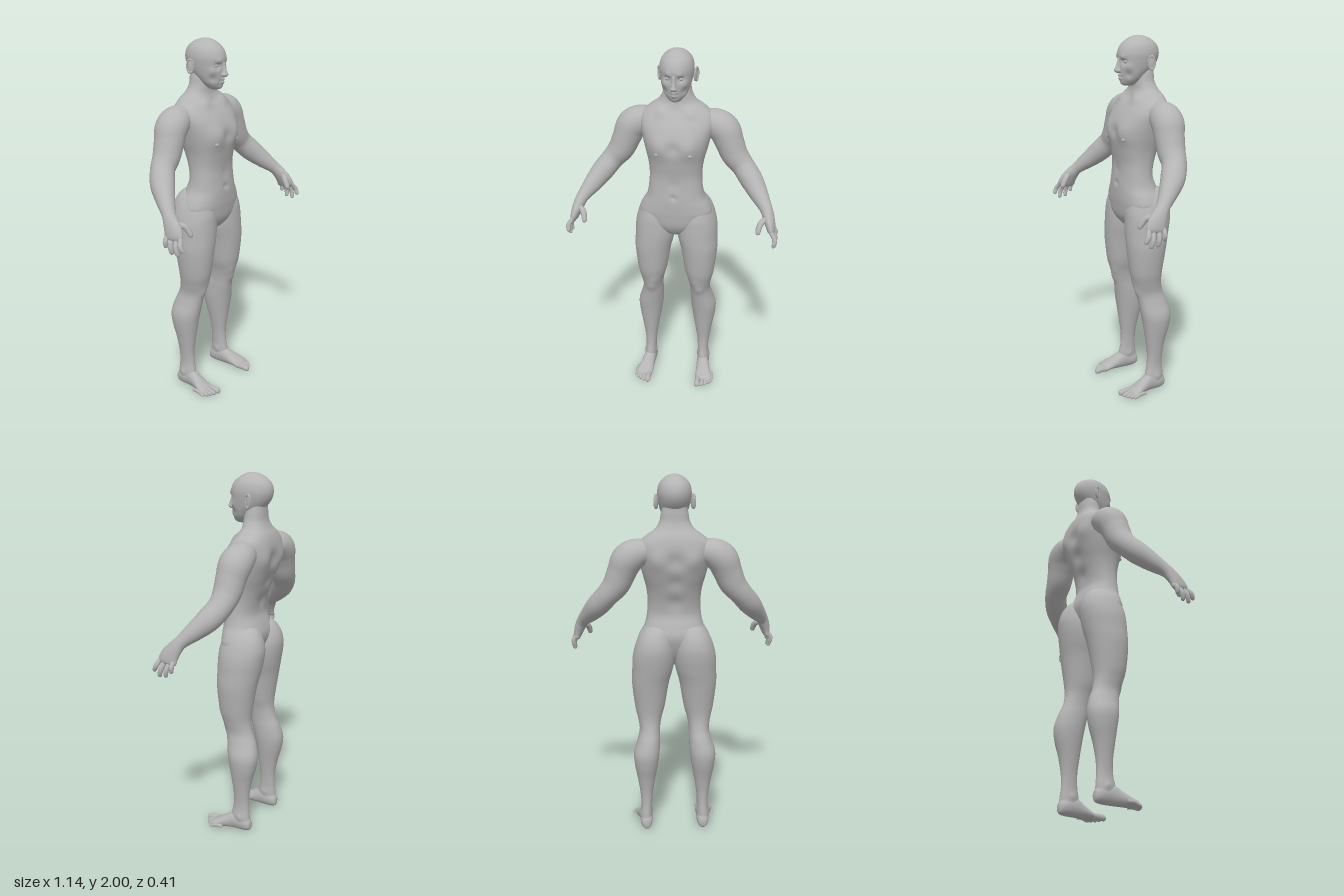
import * as THREE from 'three';
import { mergeVertices } from 'three/addons/utils/BufferGeometryUtils.js';

const skin = new THREE.MeshStandardMaterial({ color: 0xb4b4b4 });
skin.name = 'grey skin';
const V = (x, y, z) => new THREE.Vector3(x, y, z);

// Smooth skin through rows [x, y, z, halfWidth, halfDepth].
// axis: fixed ring axis, or null to follow the path; ref: direction of the depth.
function loft(rows, { axis = V(0, 1, 0), ref = V(0, 0, 1), sides = 32, steps = 6, power = 2, bumps = [] } = {}) {
  const path = new THREE.CatmullRomCurve3(rows.map(r => V(r[0], r[1], r[2])), false, 'catmullrom');
  const size = new THREE.CatmullRomCurve3(rows.map(r => V(r[3], r[4], 0)), false, 'catmullrom');
  const n = (rows.length - 1) * steps, pos = [], idx = [];
  const soft = c => Math.sign(c) * Math.abs(c) ** (2 / power);
  for (let i = 0; i <= n; i++) {
    const p = path.getPoint(i / n), s = size.getPoint(i / n);
    const t = axis || path.getTangent(i / n);
    const v = ref.clone().addScaledVector(t, -t.dot(ref)).normalize();
    const u = t.clone().cross(v);
    for (let j = 0; j < sides; j++) {
      const a = j / sides * Math.PI * 2;
      const q = p.clone().addScaledVector(u, Math.max(s.x, 0) * soft(Math.cos(a)))
        .addScaledVector(v, Math.max(s.y, 0) * soft(Math.sin(a)));
      pos.push(...sculpt(q, bumps).toArray());
      if (i < n) {
        const k = i * sides, m = (j + 1) % sides;
        idx.push(k + j, k + sides + j, k + sides + m, k + j, k + sides + m, k + m);
      }
    }
  }
  let g = new THREE.BufferGeometry();
  g.setAttribute('position', new THREE.Float32BufferAttribute(pos, 3));
  g.setIndex(idx);
  g = mergeVertices(g, 1e-5);
  g.computeVertexNormals();
  return g;
}

// Soft local pushes [x, y, z, radius, dx, dy, dz], mirrored when off centre
function sculpt(p, bumps) {
  const out = p.clone();
  for (const [x, y, z, r, dx, dy, dz] of bumps)
    for (const s of x ? [1, -1] : [1]) {
      const k = Math.exp(-p.distanceToSquared(V(x * s, y, z)) / (r * r));
      out.add(V(dx * s, dy, dz).multiplyScalar(k));
    }
  return out;
}

// Upright ring from height, half width, front z, back z, centre x
const ring = (y, w, f, b, x = 0) => [x, y, (f + b) / 2, w, (f - b) / 2];

function ball(x, y, z, rx, ry, rz, turn = 0) {
  return new THREE.SphereGeometry(1, 24, 16).scale(rx, ry, rz).rotateY(turn).translate(x, y, z);
}

function mirrored(geo) {
  const g = geo.clone().scale(-1, 1, 1), a = g.index.array;
  for (let i = 0; i < a.length; i += 3) [a[i], a[i + 1]] = [a[i + 1], a[i]];
  g.computeVertexNormals();
  return g;
}

export function createModel() {
  const model = new THREE.Group();
  model.name = 'human figure';
  const add = (name, geo) => {
    const m = new THREE.Mesh(geo, skin);
    m.name = name;
    model.add(m);
  };
  const pair = (name, geo) => {
    add('left ' + name, geo);
    add('right ' + name, mirrored(geo));
  };

  // Torso and neck
  add('torso', loft([
    ring(0.96, 0, -0.03, -0.03), ring(0.975, 0.05, 0.02, -0.07), ring(1.03, 0.16, 0.055, -0.12),
    ring(1.1, 0.2, 0.065, -0.15), ring(1.15, 0.188, 0.067, -0.158), ring(1.2, 0.16, 0.066, -0.145),
    ring(1.26, 0.147, 0.06, -0.125), ring(1.33, 0.143, 0.058, -0.135), ring(1.4, 0.15, 0.068, -0.158),
    ring(1.47, 0.168, 0.076, -0.185), ring(1.54, 0.185, 0.07, -0.2), ring(1.6, 0.198, 0.045, -0.204),
    ring(1.65, 0.19, 0.01, -0.198), ring(1.69, 0.148, -0.018, -0.185), ring(1.72, 0.105, -0.032, -0.167),
    ring(1.76, 0.08, -0.035, -0.152), ring(1.81, 0.07, -0.04, -0.148), ring(1.85, 0.055, -0.05, -0.14),
    ring(1.87, 0, -0.09, -0.09),
  ], {
    sides: 72, power: 2.3, bumps: [
      [0.08, 1.5, 0.06, 0.055, 0, 0, 0.014],      // chest muscles
      [0, 1.5, 0.08, 0.03, 0, 0, -0.01],          // breastbone
      [0, 1.29, 0.06, 0.03, 0, 0, -0.005],
      [0, 1.215, 0.066, 0.013, 0, 0, -0.012],     // navel
      [0.1, 1.56, -0.19, 0.055, 0, 0, -0.014],    // shoulder blades
      [0, 1.56, -0.2, 0.045, 0, 0, 0.014],        // spine
      [0, 1.45, -0.18, 0.045, 0, 0, 0.014],
      [0, 1.33, -0.135, 0.04, 0, 0, 0.01],
      [0.08, 1.67, -0.01, 0.03, 0, 0.006, 0.008], // collar bones
      [0, 1.68, -0.01, 0.025, 0, 0, -0.008],
    ],
  }));
  pair('nipple', ball(0.088, 1.465, 0.066, 0.013, 0.012, 0.012));

  // Leg, sole to hip; its rounded top forms the buttock
  pair('leg', loft([
    ring(0.04, 0, -0.1, -0.1, 0.163), ring(0.05, 0.03, -0.05, -0.145, 0.163),
    ring(0.09, 0.034, -0.035, -0.146, 0.163), ring(0.15, 0.031, -0.046, -0.14, 0.16),
    ring(0.22, 0.036, -0.05, -0.141, 0.16), ring(0.31, 0.05, -0.04, -0.156, 0.16),
    ring(0.4, 0.066, -0.027, -0.18, 0.16), ring(0.47, 0.072, -0.015, -0.188, 0.157),
    ring(0.54, 0.063, -0.003, -0.172, 0.145), ring(0.6, 0.057, 0.008, -0.148, 0.138),
    ring(0.66, 0.066, 0.026, -0.136, 0.138), ring(0.73, 0.083, 0.046, -0.14, 0.136),
    ring(0.865, 0.102, 0.06, -0.162, 0.132), ring(0.95, 0.112, 0.062, -0.18, 0.12),
    ring(1.02, 0.115, 0.06, -0.193, 0.114), ring(1.08, 0.107, 0.055, -0.197, 0.109),
    ring(1.14, 0.088, 0.035, -0.182, 0.104), ring(1.19, 0.055, -0.01, -0.145, 0.095),
    ring(1.21, 0, -0.08, -0.08, 0.09),
  ], {
    sides: 40, power: 2.1, bumps: [
      [0.138, 0.61, 0.01, 0.03, 0, 0, 0.01],     // kneecap
      [0.12, 0.66, 0.02, 0.03, -0.003, 0, 0.006],
      [0.125, 0.1, -0.09, 0.015, -0.006, 0, 0],  // ankle bones
      [0.2, 0.09, -0.1, 0.015, 0.006, 0, 0],
    ],
  }));

  // Foot, heel to ball, then the toes
  const forward = { axis: V(0, 0, 1), ref: V(0, 1, 0) };
  pair('foot', loft([
    [0.162, 0.04, -0.157, 0, 0], [0.162, 0.042, -0.15, 0.022, 0.03], [0.162, 0.05, -0.12, 0.034, 0.047],
    [0.164, 0.056, -0.06, 0.036, 0.054], [0.171, 0.042, -0.01, 0.041, 0.04], [0.18, 0.027, 0.04, 0.049, 0.025],
    [0.181, 0.019, 0.07, 0.044, 0.017], [0.178, 0.016, 0.085, 0, 0],
  ], forward));
  [[0.15, 0.132, 0.017], [0.176, 0.12, 0.0115], [0.196, 0.108, 0.011], [0.213, 0.093, 0.0105], [0.227, 0.077, 0.01]]
    .forEach(([x, z, r], i) => pair('toe ' + (i + 1), loft([
      [x - 0.003, 0.02, z - 0.08, r * 0.8, r], [x, 0.022, z - 0.045, r * 0.9, r], [x, r + 0.002, z - 0.015, r, r],
      [x, r, z - 0.004, r * 0.7, r * 0.7], [x, r, z, 0, 0],
    ], { ...forward, sides: 14, steps: 4 })));

  // Arm from inside the shoulder down to the knuckles
  pair('arm', loft([
    [0.1, 1.6, -0.11, 0, 0], [0.14, 1.605, -0.11, 0.055, 0.06], [0.2, 1.595, -0.11, 0.078, 0.082],
    [0.25, 1.562, -0.107, 0.085, 0.087], [0.279, 1.5, -0.1, 0.078, 0.08], [0.31, 1.43, -0.094, 0.072, 0.074],
    [0.358, 1.37, -0.083, 0.062, 0.066], [0.408, 1.31, -0.045, 0.061, 0.064], [0.455, 1.252, 0.01, 0.05, 0.05],
    [0.497, 1.2, 0.064, 0.035, 0.036], [0.515, 1.165, 0.092, 0.031, 0.042], [0.529, 1.125, 0.117, 0.026, 0.052],
    [0.538, 1.092, 0.126, 0.018, 0.05], [0.541, 1.078, 0.127, 0, 0],
  ], { axis: null, sides: 36 }));

  // Fingers, front to back, and the thumb
  const digit = (name, pts, r) => pair(name, loft(
    pts.map((p, i) => [...p, ...Array(2).fill(r * [0.9, 1.05, 0.95, 0.7, 0][i])]), { axis: null, sides: 14, steps: 4 }));
  [[0.166, 1.105, 0.196, 1.04], [0.14, 1.1, 0.165, 1.012], [0.112, 1.1, 0.127, 1.016], [0.086, 1.11, 0.09, 1.045]]
    .forEach(([z0, y0, z1, y1], i) => {
      const at = (k, x) => [x, y0 + (y1 - y0) * k, z0 + (z1 - z0) * k];
      digit('finger ' + (i + 1), [at(0, 0.535), at(0.45, 0.556), at(0.8, 0.556), at(0.95, 0.551), at(1, 0.549)], 0.0125);
    });
  digit('thumb', [[0.51, 1.16, 0.115], [0.48, 1.147, 0.15], [0.469, 1.115, 0.172], [0.468, 1.098, 0.18], [0.468, 1.092, 0.182]], 0.0155);

  // Head with sculpted face
  add('head', loft([
    ring(1.738, 0, -0.015, -0.015), ring(1.742, 0.026, 0.016, -0.04), ring(1.77, 0.054, 0.034, -0.08),
    ring(1.8, 0.069, 0.041, -0.115), ring(1.83, 0.079, 0.045, -0.15), ring(1.87, 0.087, 0.048, -0.177),
    ring(1.91, 0.09, 0.048, -0.185), ring(1.95, 0.08, 0.03, -0.172), ring(1.98, 0.055, -0.006, -0.138),
    ring(1.995, 0.028, -0.036, -0.1), ring(2, 0, -0.067, -0.067),
  ], {
    sides: 112, steps: 10, bumps: [
      [0.035, 1.868, 0.042, 0.018, 0, 0, -0.014], // eye sockets
      [0.032, 1.89, 0.042, 0.014, 0, -0.002, 0.006], // brows
      [0.055, 1.838, 0.015, 0.02, 0.004, 0, 0.004],  // cheekbones
      [0.05, 1.8, 0.015, 0.02, -0.004, 0, -0.005],
      [0, 1.795, 0.042, 0.013, 0, 0, 0.009],         // upper lip
      [0, 1.779, 0.038, 0.012, 0, 0, 0.011],         // lower lip
      [0, 1.787, 0.042, 0.007, 0, 0, -0.007],        // mouth line
      [0.016, 1.787, 0.04, 0.006, 0, 0, -0.006],
      [0, 1.753, 0.025, 0.018, 0, 0, 0.01],          // chin
    ],
  }));
  add('nose', loft([
    ring(1.806, 0, 0.05, 0.05), ring(1.809, 0.014, 0.062, 0.03), ring(1.82, 0.019, 0.073, 0.03),
    ring(1.834, 0.013, 0.069, 0.03), ring(1.86, 0.009, 0.058, 0.03), ring(1.885, 0.009, 0.051, 0.03),
    ring(1.9, 0, 0.04, 0.04),
  ], { sides: 24 }));
  pair('eye', ball(0.034, 1.867, 0.02, 0.015, 0.011, 0.014));
  pair('ear', ball(0.093, 1.86, -0.095, 0.007, 0.037, 0.02, -0.35));
  pair('ear rim', new THREE.TorusGeometry(0.028, 0.0055, 10, 32).scale(0.65, 1.2, 1)
    .rotateY(Math.PI / 2 - 0.4).translate(0.098, 1.862, -0.097));

  return model;
}
